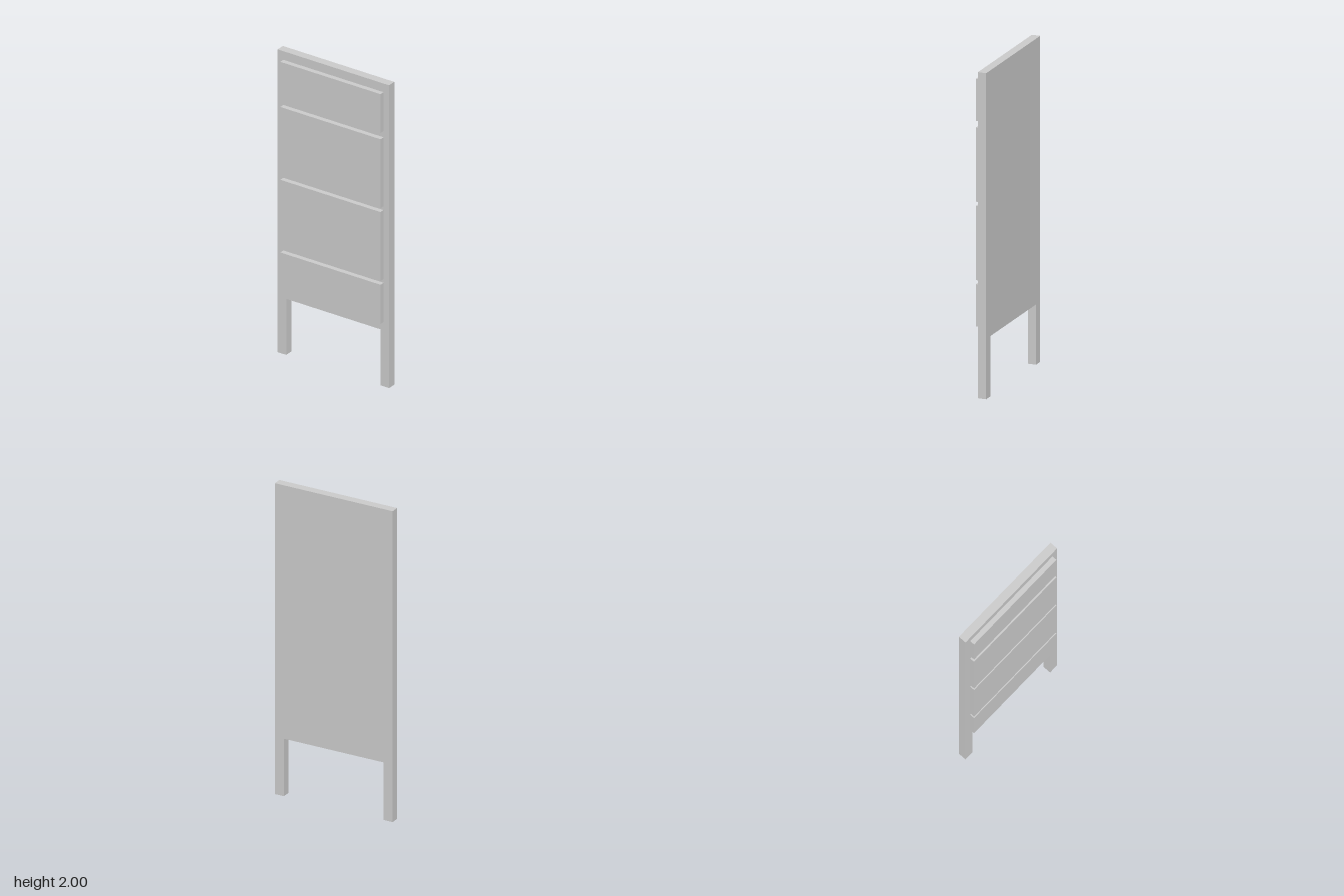
import * as THREE from 'three';

const BACK = -0.042, FACE = 0.011, FRONT = 0.042;
const HALF_W = 0.397, LEG_IN = 0.336, APRON_Y = 0.37;

// Drops the triangles lying on y = 0, leaving the hollow leg ends open
function openAtFloor(geometry) {
  const p = geometry.attributes.position, kept = [];
  for (let i = 0; i < p.count; i += 3) {
    if (Math.max(p.getY(i), p.getY(i + 1), p.getY(i + 2)) < 1e-5) continue;
    for (let k = i; k < i + 3; k++) kept.push(p.getX(k), p.getY(k), p.getZ(k));
  }
  const open = new THREE.BufferGeometry();
  open.setAttribute('position', new THREE.Float32BufferAttribute(kept, 3));
  open.computeVertexNormals();
  return open;
}

export function createModel() {
  const model = new THREE.Group();
  model.name = 'panelBoard';
  const material = new THREE.MeshStandardMaterial({ color: 0xcccccc, side: THREE.DoubleSide });

  // Backboard with its two legs, cut from one outline
  const outline = new THREE.Shape([
    [-HALF_W, 0], [-LEG_IN, 0], [-LEG_IN, APRON_Y], [LEG_IN, APRON_Y],
    [LEG_IN, 0], [HALF_W, 0], [HALF_W, 2], [-HALF_W, 2],
  ].map(([x, y]) => new THREE.Vector2(x, y)));
  const boardGeometry = new THREE.ExtrudeGeometry(outline, { depth: FACE - BACK, bevelEnabled: false });
  boardGeometry.translate(0, 0, BACK);
  const board = new THREE.Mesh(openAtFloor(boardGeometry), material);
  board.name = 'backboardWithLegs';
  model.add(board);

  // Raised front panels: name, bottom, top
  const panels = [
    ['bottomPanel', 0.425, 0.684],
    ['lowerMiddlePanel', 0.709, 1.164],
    ['upperMiddlePanel', 1.19, 1.645],
    ['topPanel', 1.686, 1.943],
  ];
  for (const [name, y0, y1] of panels) {
    const panel = new THREE.Mesh(new THREE.BoxGeometry(0.714, y1 - y0, FRONT - FACE), material);
    panel.position.set(0, (y0 + y1) / 2, (FRONT + FACE) / 2);
    panel.name = name;
    model.add(panel);
  }
  return model;
}
